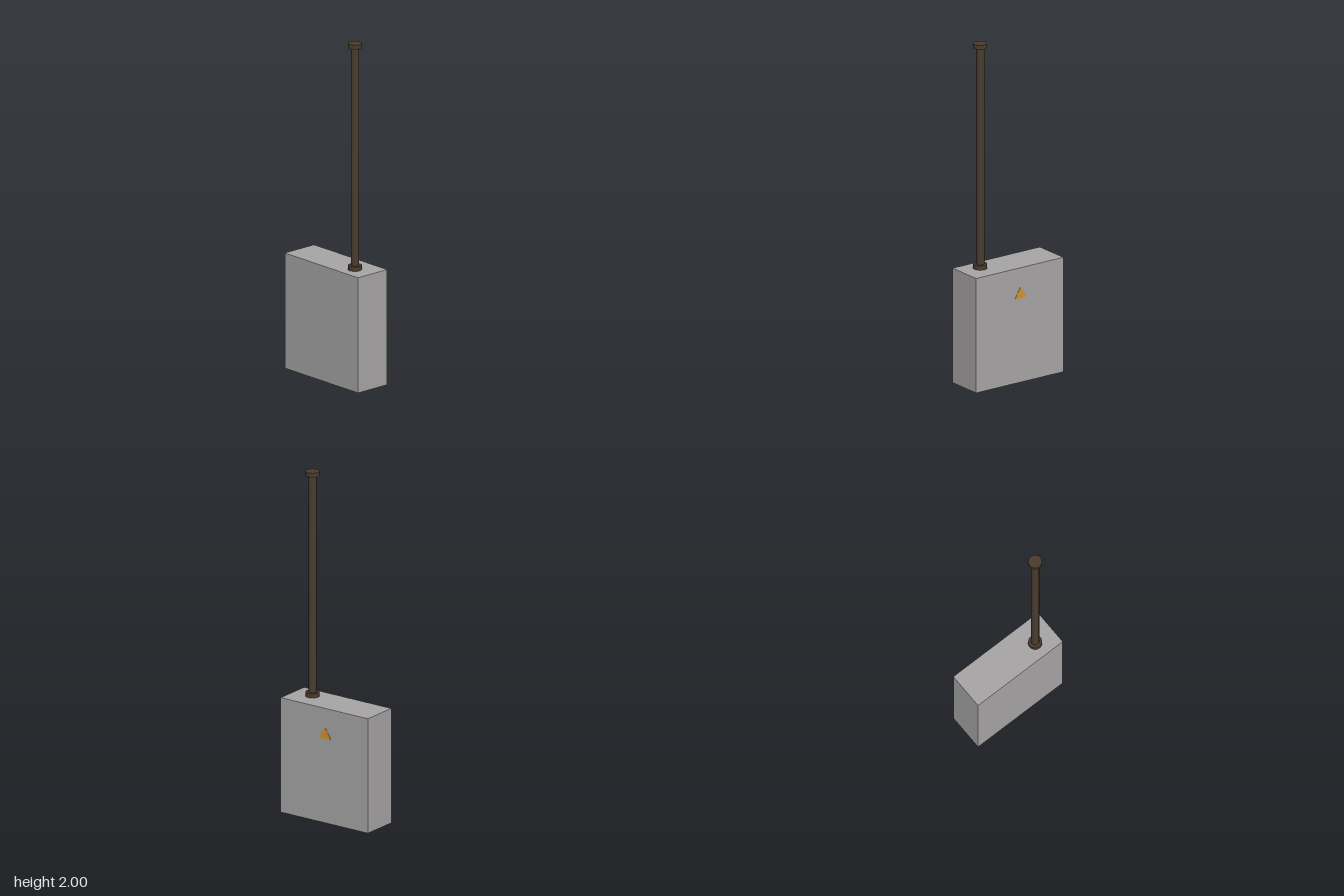
import * as THREE from 'three';

const WIDTH = 0.605, HEIGHT = 0.675, DEPTH = 0.22;

function material(name, color) {
  const m = new THREE.MeshStandardMaterial({ color });
  m.name = name;
  return m;
}

export function createModel() {
  const model = new THREE.Group();
  model.name = 'cabinetWithConduit';

  const grey = material('cabinet grey', 0xa6a4a4);
  const brown = material('conduit brown', 0x4a3c2e);
  const amber = material('warning amber', 0xd0922a);

  const add = (name, geometry, mat, x, y, z) => {
    const mesh = new THREE.Mesh(geometry, mat);
    mesh.name = name;
    mesh.position.set(x, y, z);
    model.add(mesh);
    return mesh;
  };

  // Cabinet
  add('cabinet', new THREE.BoxGeometry(WIDTH, HEIGHT, DEPTH), grey, 0, HEIGHT / 2, 0);

  // Vertical conduit with a collar at each end
  const px = 0.178, pz = 0.02, collar = 0.025;
  const length = 1.995 - HEIGHT;
  add('conduit', new THREE.CylinderGeometry(0.023, 0.023, length, 24), brown, px, HEIGHT + length / 2, pz);
  const collarGeometry = new THREE.CylinderGeometry(0.039, 0.039, collar, 24);
  add('lowerCollar', collarGeometry, brown, px, HEIGHT + collar / 2, pz);
  add('upperCollar', collarGeometry, brown, px, 2 - collar / 2, pz);

  // Warning plate on the back: a triangle with rounded corners
  const corners = [[-0.042, 0], [0.042, 0], [0, 0.068]].map(([x, y]) => new THREE.Vector2(x, y));
  const shape = new THREE.Shape();
  corners.forEach((c, i) => {
    const before = c.clone().lerp(corners[(i + 2) % 3], 0.15);
    const after = c.clone().lerp(corners[(i + 1) % 3], 0.15);
    if (i === 0) shape.moveTo(before.x, before.y);
    else shape.lineTo(before.x, before.y);
    shape.quadraticCurveTo(c.x, c.y, after.x, after.y);
  });
  shape.closePath();
  const plate = new THREE.ExtrudeGeometry(shape, { depth: 0.002, bevelEnabled: false, curveSegments: 4 });
  add('warningPlate', plate, amber, -0.006, 0.496, -DEPTH / 2 - 0.0015);

  return model;
}
